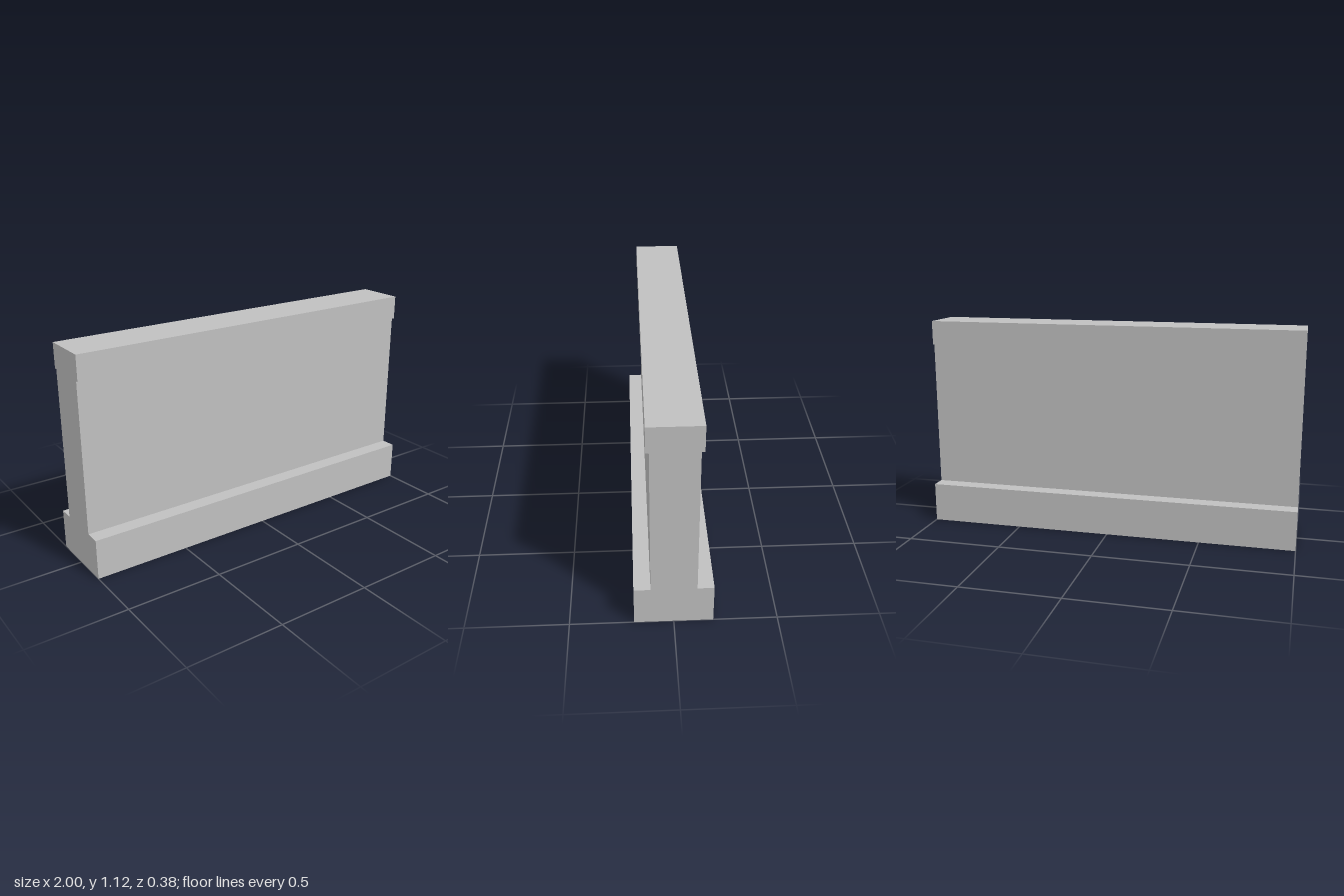
import * as THREE from 'three';

export function createModel() {
  const group = new THREE.Group();
  group.name = 'parapetWall';

  const concrete = new THREE.MeshStandardMaterial({ color: 0xc0c0c0 });
  concrete.name = 'concrete grey';

  const length = 2;

  // Half of the cross-section: [half depth, height] for footing, wall and coping
  const half = [
    [0.19, 0], [0.19, 0.21],
    [0.11, 0.21], [0.11, 0.993],
    [0.125, 0.993], [0.125, 1.122],
  ];
  const mirrored = half.map(([d, y]) => [-d, y]).reverse();
  const profile = new THREE.Shape([...half, ...mirrored].map(([d, y]) => new THREE.Vector2(d, y)));

  // One solid run of wall, extruded along x
  const geometry = new THREE.ExtrudeGeometry(profile, { depth: length, bevelEnabled: false });
  geometry.translate(0, 0, -length / 2);
  geometry.rotateY(Math.PI / 2);

  const wall = new THREE.Mesh(geometry, concrete);
  wall.name = 'wallWithFootingAndCoping';
  group.add(wall);

  return group;
}
